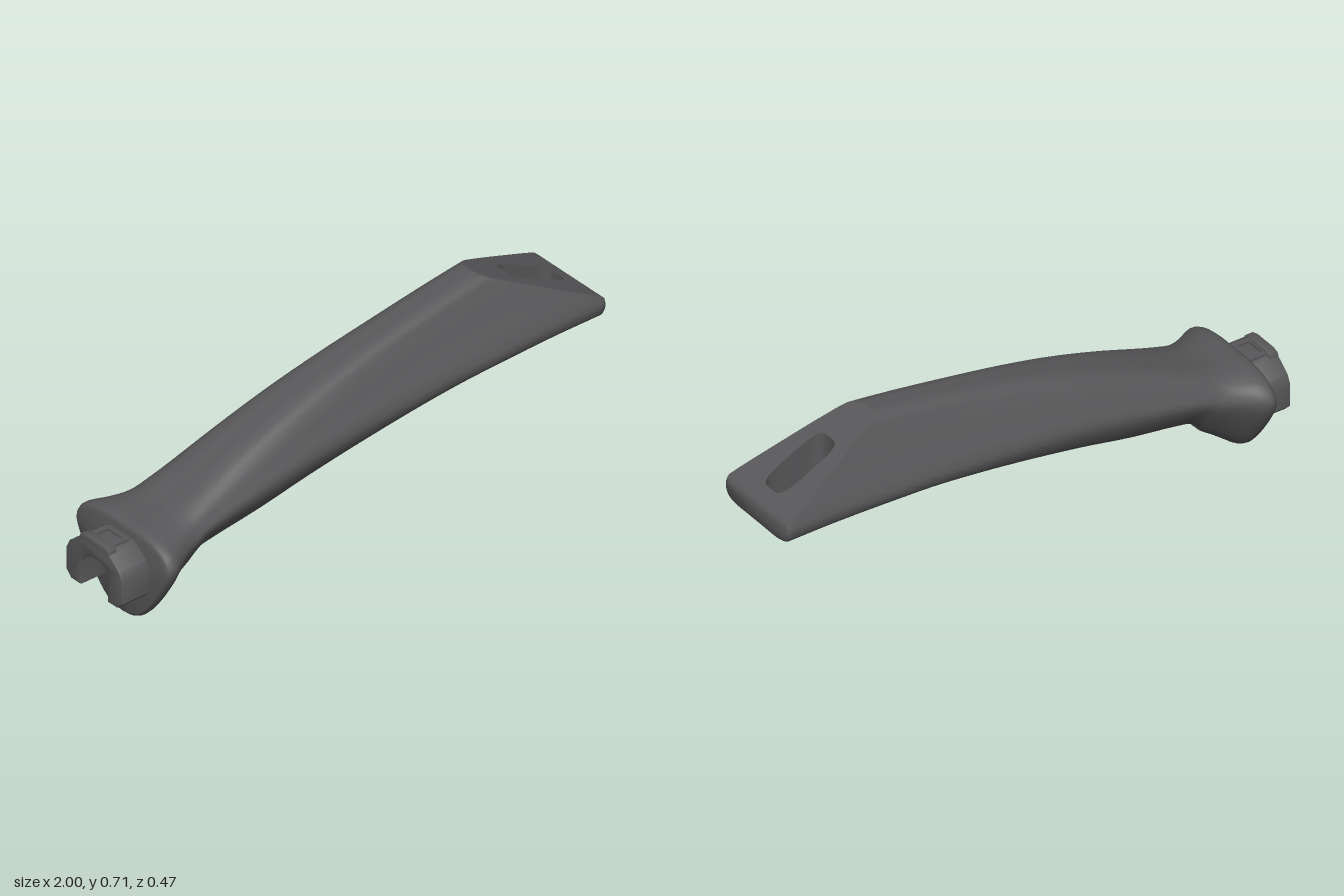
import * as THREE from 'three';
import { mergeGeometries, mergeVertices, toCreasedNormals } from 'three/addons/utils/BufferGeometryUtils.js';

// Grip stations: x, top y, bottom y, half width, blend from collar (0) to tail (1)
const STATIONS = [
  [-0.885, 0.348, 0.002, 0.235, 0], [-0.85, 0.352, 0.003, 0.235, 0], [-0.8, 0.354, 0.04, 0.207, 0.03],
  [-0.75, 0.36, 0.08, 0.182, 0.08], [-0.71, 0.37, 0.11, 0.171, 0.14], [-0.66, 0.387, 0.165, 0.166, 0.22],
  [-0.6, 0.41, 0.188, 0.165, 0.3], [-0.4, 0.487, 0.23, 0.165, 0.46], [-0.2, 0.552, 0.28, 0.164, 0.6],
  [0, 0.603, 0.325, 0.164, 0.74], [0.2, 0.645, 0.365, 0.165, 0.87], [0.4, 0.682, 0.396, 0.168, 0.96],
  [0.57, 0.708, 0.41, 0.171, 1], [0.8, 0.735, 0.42, 0.175, 1], [1, 0.745, 0.422, 0.178, 1],
];
// Half outlines from top centre to bottom centre: [z / half width, height fraction]
const COLLAR = [[0, 1], [0.35, 1], [0.68, 0.96], [0.9, 0.88], [0.99, 0.79], [1, 0.73], [0.9, 0.56], [0.45, 0.13], [0.22, 0.025], [0, 0]];
const TAIL = [[0, 1], [0.2, 0.995], [0.36, 0.95], [0.5, 0.81], [0.72, 0.55], [0.95, 0.28], [1, 0.17], [0.93, 0.055], [0.76, 0.01], [0, 0]];
const HOLE = { x: 0.825, r: 0.115, w: 0.055 };
const TOP_COLS = 14, SIDE_COLS = 56, COLS = TOP_COLS + SIDE_COLS;

// Smooth interpolation of a station column
function at(x, col) {
  const S = STATIONS, n = S.length;
  let i = 0;
  while (i < n - 2 && x > S[i + 1][0]) i++;
  const slope = k => {
    const a = S[Math.max(k - 1, 0)], b = S[Math.min(k + 1, n - 1)];
    return (b[col] - a[col]) / (b[0] - a[0]);
  };
  const d = S[i + 1][0] - S[i][0], t = (x - S[i][0]) / d, t2 = t * t, t3 = t2 * t;
  return (2 * t3 - 3 * t2 + 1) * S[i][col] + (t3 - 2 * t2 + t) * d * slope(i)
    + (3 * t2 - 2 * t3) * S[i + 1][col] + (t3 - t2) * d * slope(i + 1);
}

// Evenly spaced points along a polyline
function resample(pts, count) {
  const len = [0];
  for (let i = 1; i < pts.length; i++) len.push(len[i - 1] + Math.hypot(pts[i][0] - pts[i - 1][0], pts[i][1] - pts[i - 1][1]));
  const out = [];
  let k = 0;
  for (let i = 0; i < count; i++) {
    const s = len[len.length - 1] * i / (count - 1);
    while (k < pts.length - 2 && s > len[k + 1]) k++;
    const t = (s - len[k]) / (len[k + 1] - len[k] || 1);
    out.push([0, 1].map(c => pts[k][c] + (pts[k + 1][c] - pts[k][c]) * t));
  }
  return out;
}

// Half cross-section as [z, y] points, cut by the slanted end and opened by the hanging hole
function halfRing(x, inset) {
  const top = at(x, 1), bot = at(x, 2), w = at(x, 3), b = THREE.MathUtils.clamp(at(x, 4), 0, 1), h = top - bot;
  const curve = new THREE.CatmullRomCurve3(TAIL.map((p, i) => new THREE.Vector3(
    w * THREE.MathUtils.lerp(COLLAR[i][0], p[0], b), bot + h * THREE.MathUtils.lerp(COLLAR[i][1], p[1], b), 0)));
  const pts = curve.getPoints(180).map(p => [Math.max(p.x, 0), p.y]);
  const cut = x > 0.5701 ? 0.708 - (x - 0.57) * 0.48 : 9;
  const split = Math.min(cut, top - 0.02 * h);
  const u = Math.abs(x - HOLE.x) / HOLE.r;
  const zh = u < 1 ? HOLE.w * Math.pow(1 - u ** 4, 0.25) : 0;
  const k = pts.findIndex((p, i) => i > 0 && p[1] < split);
  const p = pts[k - 1], q = pts[k], t = (split - p[1]) / (q[1] - p[1]);
  const corner = [p[0] + (q[0] - p[0]) * t, split];
  const upper = [[zh, Math.min(top, cut)], ...pts.slice(1, k).filter(v => v[0] > zh).map(v => [v[0], Math.min(v[1], cut)]), corner];
  const lower = [corner, ...pts.slice(k).filter(v => v[0] > zh), [zh, bot]];
  const ring = [...resample(upper, TOP_COLS), ...resample(lower, SIDE_COLS + 1).slice(1)];
  const ymax = ring[0][1], mid = (ymax + bot) / 2;
  return ring.map(([z, y], j) => {
    // round groove under the neck
    if (x > -0.71 && x < -0.38 && j > TOP_COLS && z < 0.06) y = Math.max(y, 0.17 + Math.sqrt(0.0036 - z * z));
    return [z * (1 - inset / w), mid + (y - mid) * (1 - 2 * inset / (ymax - bot))];
  });
}

function gripGeometry() {
  // stations with inset for the rounded ends
  const rows = [[-0.885, 0.016], [-0.882, 0.008], [-0.876, 0.003], [-0.866, 0], [-0.7105, 0], [-0.7095, 0], [0.57, 0]];
  for (let x = -0.85; x < 0.56; x += 0.02) if (Math.abs(x + 0.71) > 0.005) rows.push([x, 0]);
  for (const x of [0.585, 0.6, 0.62, 0.645, 0.67, 0.69, 0.955, 0.97, 0.982]) rows.push([x, 0]);
  rows.push([0.99, 0.002], [0.996, 0.006], [1, 0.014]);
  for (let i = 0; i <= 24; i++) rows.push([HOLE.x - HOLE.r * Math.cos(i * Math.PI / 24), 0]);
  rows.sort((a, b) => a[0] - b[0]);

  const halves = [1, -1].map(side => {
    const pos = [], idx = [];
    const tri = (a, b, c) => idx.push(...(side > 0 ? [a, b, c] : [a, c, b]));
    const rings = rows.map(([x, inset]) => halfRing(x, inset));
    rings.forEach((r, i) => r.forEach(([z, y]) => pos.push(rows[i][0], y, z * side)));
    for (let i = 0; i < rows.length - 1; i++) {
      const xm = (rows[i][0] + rows[i + 1][0]) / 2;
      const inHole = Math.abs(xm - HOLE.x) < HOLE.r;
      // the last column closes the wall of the hole
      for (let j = 0; j < (inHole ? COLS : COLS - 1); j++) {
        const n = (j + 1) % COLS, a = i * COLS + j, b = a + COLS, c = i * COLS + n, d = c + COLS;
        tri(a, c, b);
        tri(b, c, d);
      }
    }
    // end caps
    for (const i of [0, rows.length - 1]) {
      const r = rings[i], centre = pos.length / 3;
      pos.push(rows[i][0], (r[0][1] + r[COLS - 1][1]) / 2, 0);
      for (let j = 0; j < COLS - 1; j++) {
        const a = i * COLS + j;
        if (i === 0) tri(centre, a + 1, a); else tri(centre, a, a + 1);
      }
    }
    const g = new THREE.BufferGeometry();
    g.setAttribute('position', new THREE.Float32BufferAttribute(pos, 3));
    g.setIndex(idx);
    return g;
  });
  return toCreasedNormals(mergeVertices(mergeGeometries(halves), 1e-5), 0.5);
}

// Mirrored outline extruded along x
function extrudeX(half, x0, x1, bevel) {
  const pts = [...half, ...half.slice().reverse().map(([z, y]) => [-z, y])];
  const shape = new THREE.Shape(pts.map(([z, y]) => new THREE.Vector2(z, y)));
  const g = new THREE.ExtrudeGeometry(shape, {
    depth: x1 - x0 - 2 * bevel, bevelEnabled: true, bevelThickness: bevel, bevelSize: bevel, bevelOffset: -bevel, bevelSegments: 2,
  });
  g.rotateY(Math.PI / 2);
  g.translate(x0 + bevel, 0, 0);
  return toCreasedNormals(g, 0.5);
}

export function createModel() {
  const group = new THREE.Group();
  const plastic = new THREE.MeshStandardMaterial({ color: 0x58585a });
  plastic.name = 'charcoal plastic';
  const add = (name, geo) => {
    const m = new THREE.Mesh(geo, plastic);
    m.name = name;
    group.add(m);
    return m;
  };
  add('grip', gripGeometry());

  // Mounting plug with a slot open at the bottom
  add('mountingPlug', extrudeX([
    [0.03, 0.258], [0.055, 0.245], [0.068, 0.215], [0.068, 0.125], [0.115, 0.125], [0.14, 0.15],
    [0.14, 0.235], [0.125, 0.265], [0.08, 0.302], [0.055, 0.312],
  ], -1, -0.87, 0.005));
  // Raised lip and catch on top of the plug
  add('plugLip', extrudeX([[0.075, 0.3], [0.07, 0.318], [0.045, 0.326]], -1, -0.965, 0.003));
  const frame = new THREE.Shape([[-0.035, -0.055], [0.035, -0.055], [0.035, 0.055], [-0.035, 0.055]].map(p => new THREE.Vector2(...p)));
  frame.holes.push(new THREE.Path([[-0.024, -0.035], [-0.024, 0.035], [0.024, 0.035], [0.024, -0.035]].map(p => new THREE.Vector2(...p))));
  const catchRim = new THREE.ExtrudeGeometry(frame, { depth: 0.009, bevelEnabled: false });
  catchRim.rotateX(-Math.PI / 2);
  add('plugCatch', catchRim).position.set(-0.935, 0.31, 0);
  return group;
}
